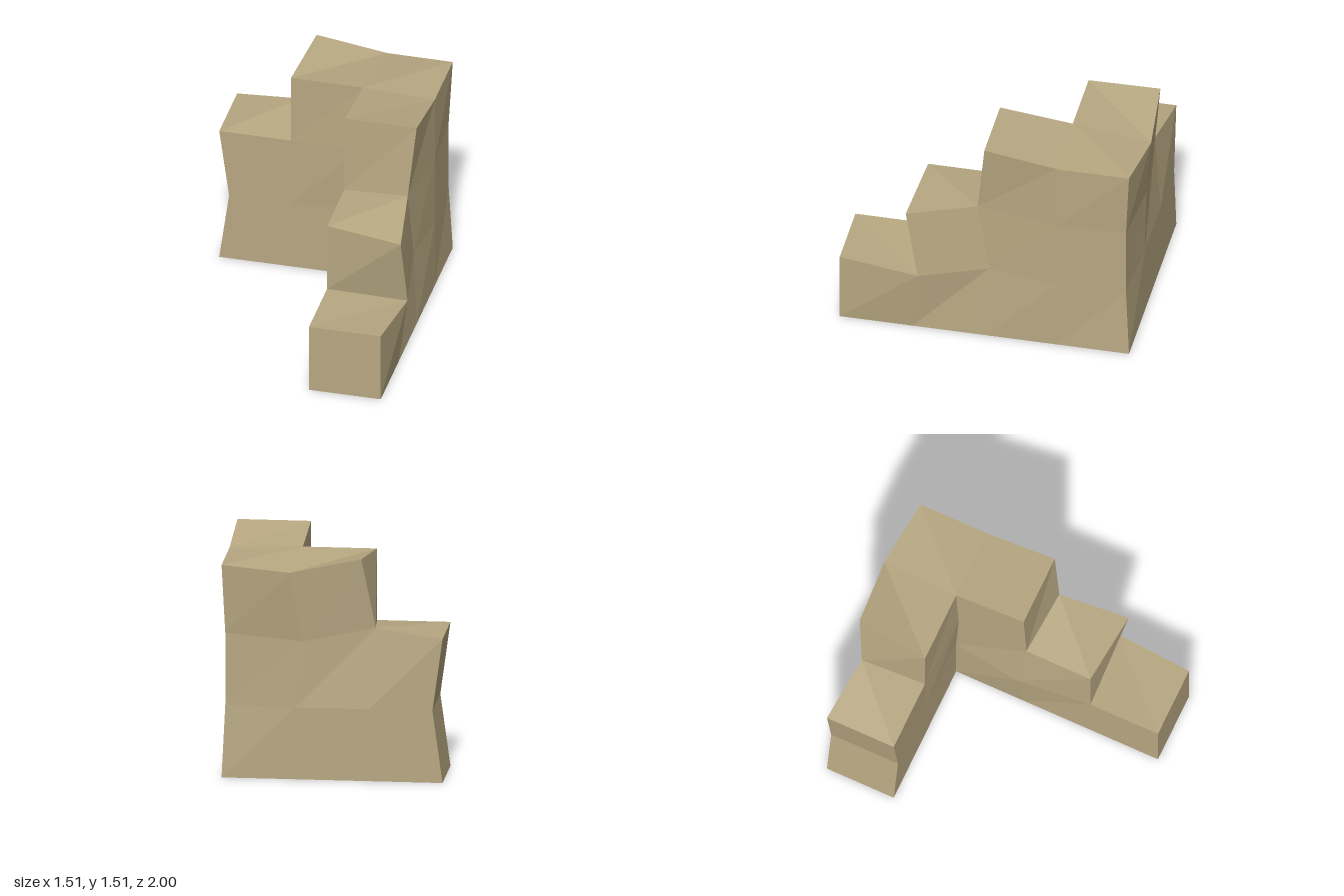
import * as THREE from 'three';

// Regular block grid that the broken corner wall is built on
const X = [-0.757, -0.27, 0.22, 0.707];
const Y = [0, 0.487, 0.975, 1.46];
const Z = [-0.95, -0.465, 0.022, 0.51, 1.0];

// Grid corners that are chipped away from their regular position
const CHIPPED = {
  // left end
  '0,1,0': [-0.69, 0.487, -0.95], '0,1,1': [-0.69, 0.487, -0.465],
  // back face and top of the back wall
  '1,2,0': [-0.31, 1.03, -0.905], '1,3,0': [-0.22, 1.505, -0.96],
  '2,2,0': [0.17, 0.935, -0.95], '2,3,0': [0.25, 1.41, -1.0],
  // outer corner
  '3,1,0': [0.685, 0.487, -0.925], '3,2,0': [0.685, 0.975, -0.925],
  '3,3,0': [0.707, 1.44, -0.95], '3,3,1': [0.707, 1.44, -0.465],
  // inner corner
  '2,1,1': [0.22, 0.52, -0.465], '2,2,1': [0.215, 1.0, -0.445],
  // steps of the side wall
  '2,1,2': [0.175, 0.47, 0], '3,1,2': [0.68, 0.53, 0],
  '2,2,2': [0.22, 0.975, 0.045], '3,2,2': [0.66, 1.015, 0.08],
  '2,3,2': [0.22, 1.515, 0.025], '3,3,2': [0.707, 1.515, 0.025],
  '3,1,3': [0.755, 0.45, 0.465], '3,2,3': [0.73, 0.93, 0.55],
};
const corner = (i, j, k) => CHIPPED[`${i},${j},${k}`] ?? [X[i], Y[j], Z[k]];

// Columns as [x cell, z cell, height in blocks]
const BACK_WALL = [[0, 0, 2], [1, 0, 3], [2, 0, 3]];
const SIDE_WALL = [[2, 1, 3], [2, 2, 2], [2, 3, 1]];
const COLUMNS = [...BACK_WALL, ...SIDE_WALL];
const filled = (i, j, k) =>
  j >= 0 && COLUMNS.some(([x, z, h]) => x === i && z === k && j < h);

// Block faces: outward direction, then corners counter-clockwise from outside
const FACES = [
  [[1, 0, 0], [[1, 0, 1], [1, 0, 0], [1, 1, 0], [1, 1, 1]]],
  [[-1, 0, 0], [[0, 0, 0], [0, 0, 1], [0, 1, 1], [0, 1, 0]]],
  [[0, 1, 0], [[0, 1, 1], [1, 1, 1], [1, 1, 0], [0, 1, 0]]],
  [[0, -1, 0], [[0, 0, 0], [1, 0, 0], [1, 0, 1], [0, 0, 1]]],
  [[0, 0, 1], [[0, 0, 1], [1, 0, 1], [1, 1, 1], [0, 1, 1]]],
  [[0, 0, -1], [[1, 0, 0], [0, 0, 0], [0, 1, 0], [1, 1, 0]]],
];

// Only the exposed faces of the blocks in a wall
function wallGeometry(columns) {
  const positions = [];
  for (const [i, k, height] of columns) {
    for (let j = 0; j < height; j++) {
      for (const [[dx, dy, dz], quad] of FACES) {
        if (filled(i + dx, j + dy, k + dz)) continue;
        const p = quad.map(([a, b, c]) => corner(i + a, j + b, k + c));
        for (const n of [0, 1, 2, 0, 2, 3]) positions.push(...p[n]);
      }
    }
  }
  const geometry = new THREE.BufferGeometry();
  geometry.setAttribute('position', new THREE.Float32BufferAttribute(positions, 3));
  geometry.computeVertexNormals();
  return geometry;
}

export function createModel() {
  const group = new THREE.Group();
  group.name = 'ruinedCornerWall';
  const stone = new THREE.MeshStandardMaterial({ color: 0xb8a882 });
  stone.name = 'sandstone';
  stone.flatShading = true;

  for (const [name, columns] of [['backWall', BACK_WALL], ['sideWall', SIDE_WALL]]) {
    const mesh = new THREE.Mesh(wallGeometry(columns), stone);
    mesh.name = name;
    group.add(mesh);
  }
  return group;
}
